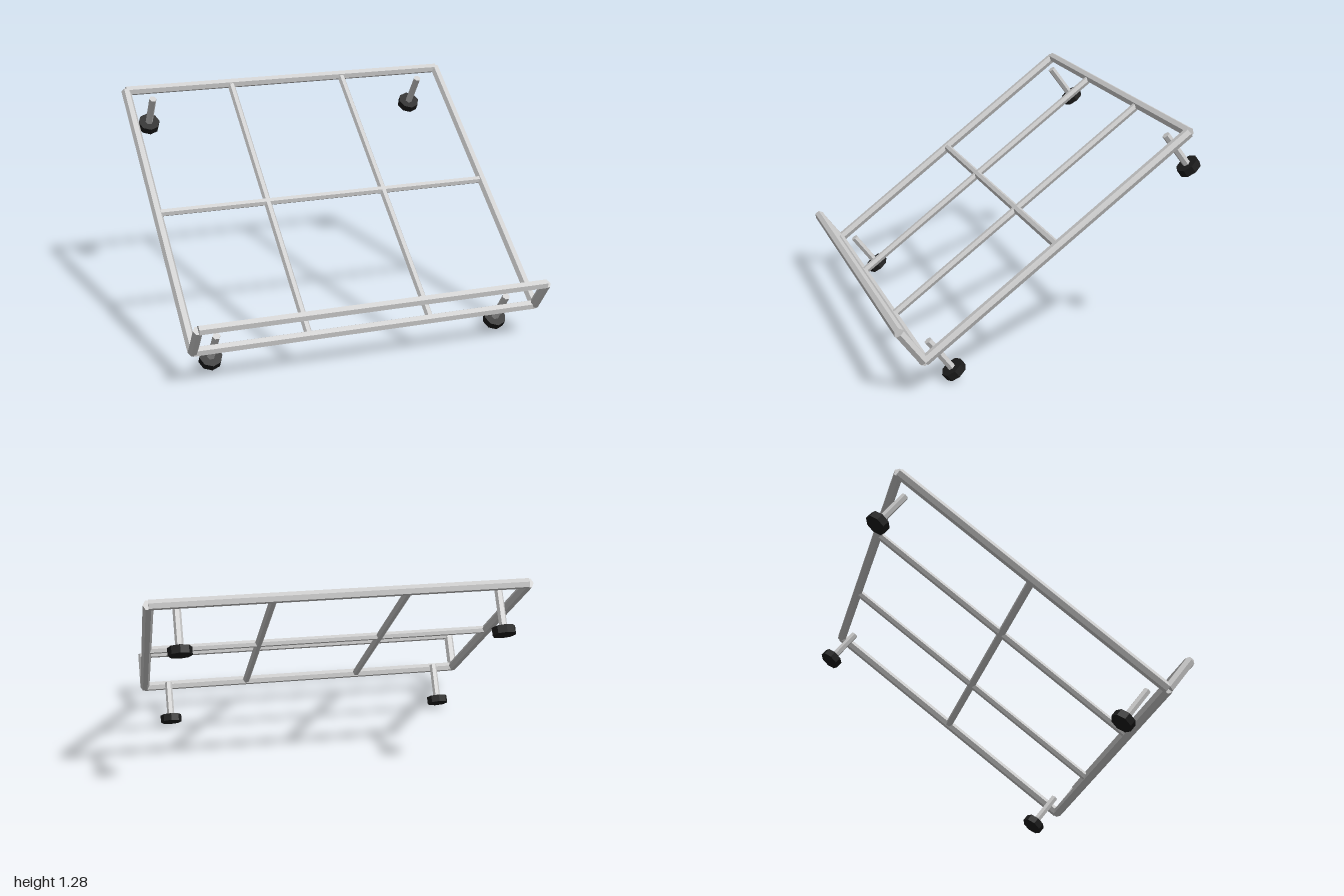
import * as THREE from 'three';

const TILT = 0.646;     // slope of the rack
const HALF_W = 0.972;   // side rail centre line
const HALF_L = 0.879;   // half length along the slope
const LIP = 0.208;      // height of the front lip
const R = 0.0275;       // outer tube radius
const THIN = 0.0215;    // inner bar and leg radius

export function createModel() {
  const model = new THREE.Group();
  model.name = 'tiltedRack';
  const steel = new THREE.MeshStandardMaterial({ color: 0xcccccc, flatShading: true });
  const rubber = new THREE.MeshStandardMaterial({ color: 0x1c1c1c, flatShading: true });

  // Everything is laid out flat, then tilted as one group
  const rack = new THREE.Group();
  rack.name = 'rack';
  rack.position.set(0, 0.72, -0.006);
  rack.rotation.x = TILT;
  model.add(rack);

  // Hexagonal tube along an axis, centred at (x, y, z)
  function tube(name, axis, length, radius, x, y, z) {
    const g = new THREE.CylinderGeometry(radius, radius, length, 6);
    if (axis === 'x') g.rotateZ(Math.PI / 2);
    else g.rotateY(Math.PI / 6);
    if (axis === 'z') g.rotateX(Math.PI / 2);
    const m = new THREE.Mesh(g, steel);
    m.name = name;
    m.position.set(x, y, z);
    rack.add(m);
  }

  // Cross bars: top, bottom, lip and the thin middle one
  tube('topBar', 'x', 2 * HALF_W, R, 0, 0, -HALF_L);
  tube('bottomBar', 'x', 2 * HALF_W, R, 0, 0, HALF_L);
  tube('lipBar', 'x', 2 * HALF_W, R, 0, LIP, HALF_L);
  tube('middleBar', 'x', 2 * HALF_W, THIN, 0, 0, 0);

  for (const s of [-1, 1]) {
    const side = s > 0 ? 'left' : 'right';
    tube(side + 'Rail', 'z', 2 * HALF_L, R, s * HALF_W, 0, 0);
    tube(side + 'LipPost', 'y', LIP, R, s * HALF_W, LIP / 2, HALF_L);
    tube(side + 'InnerBar', 'z', 2 * HALF_L, THIN, s * 0.346, 0, 0);

    // Legs with octagonal feet
    for (const e of [-1, 1]) {
      const end = e > 0 ? 'Front' : 'Back';
      tube(side + end + 'Leg', 'y', 0.225, THIN, s * 0.83, -0.1125, e * 0.805);
      const foot = new THREE.Mesh(new THREE.CylinderGeometry(0.0625, 0.0625, 0.042, 8), rubber);
      foot.name = side + end + 'Foot';
      foot.position.set(s * 0.83, -0.226, e * 0.805);
      rack.add(foot);
    }
  }
  return model;
}
